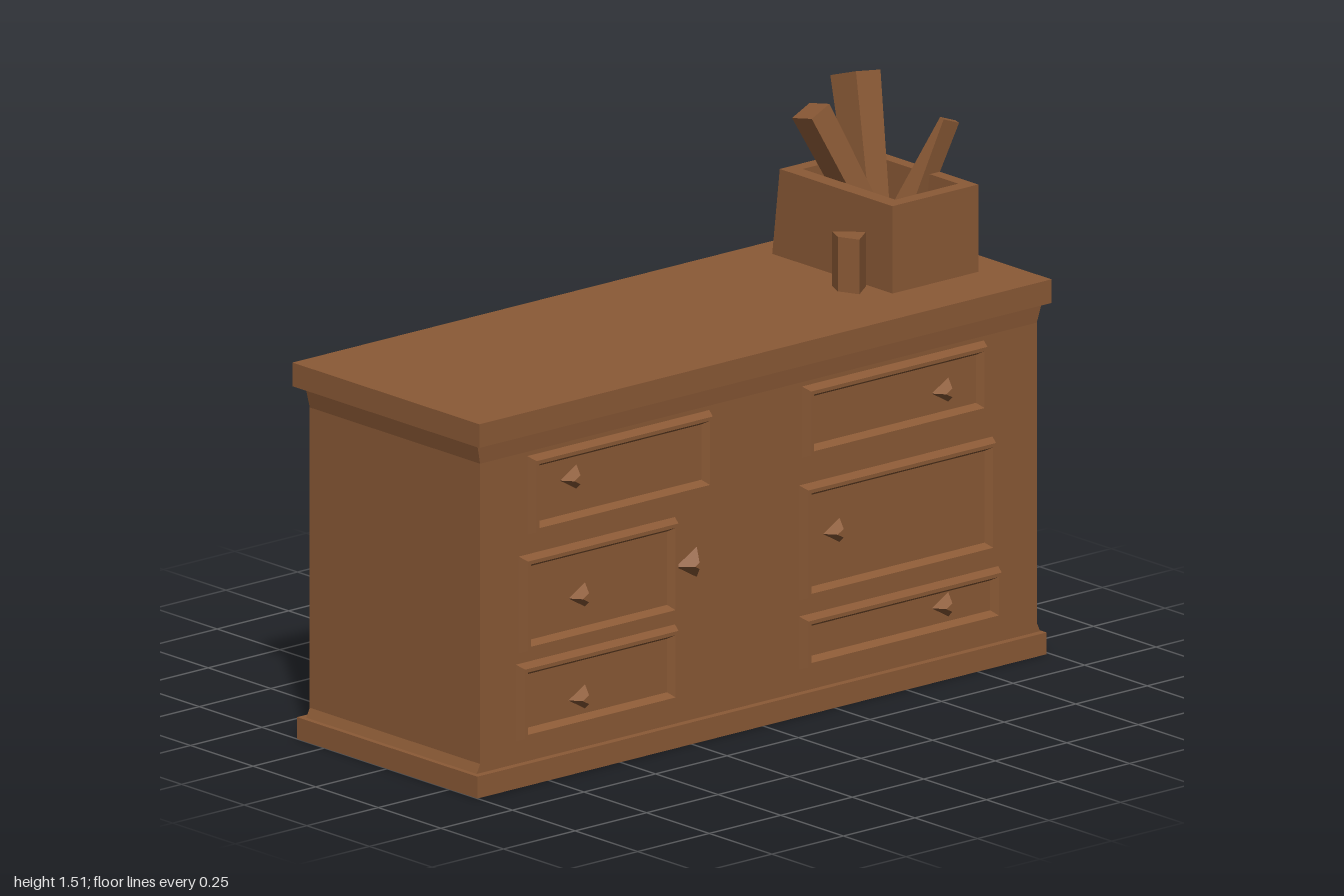
import * as THREE from 'three';

const wood = new THREE.MeshStandardMaterial({ color: 0x8b5a36, flatShading: true });
wood.name = 'brownWood';

// Skins rectangles [y, minX, maxX, minZ, maxZ] in order and caps both ends.
function loft(rings) {
  const loops = rings.map(([y, x0, x1, z0, z1]) => [[x1, y, z1], [x1, y, z0], [x0, y, z0], [x0, y, z1]]);
  const pos = [];
  const quad = (a, b, c, d) => pos.push(...a, ...b, ...c, ...a, ...c, ...d);
  for (let r = 0; r < loops.length - 1; r++) {
    const a = loops[r], b = loops[r + 1];
    for (let i = 0; i < 4; i++) quad(a[i], a[(i + 1) % 4], b[(i + 1) % 4], b[i]);
  }
  const bottom = loops[0], top = loops[loops.length - 1];
  quad(bottom[3], bottom[2], bottom[1], bottom[0]);
  quad(...top);
  const g = new THREE.BufferGeometry();
  g.setAttribute('position', new THREE.Float32BufferAttribute(pos, 3));
  g.computeVertexNormals();
  return g;
}

export function createModel() {
  const model = new THREE.Group();
  model.name = 'counterWithCrate';
  const add = (name, geometry) => {
    const mesh = new THREE.Mesh(geometry, wood);
    mesh.name = name;
    model.add(mesh);
    return mesh;
  };

  // Cabinet: plinth, body with flared ends, overhanging top
  add('plinth', loft([[0, -0.36, 0.36, -0.99, 1], [0.06, -0.36, 0.36, -0.99, 1]]));
  add('body', loft([
    [0.06, -0.34, 0.34, -0.985, 0.985], [0.085, -0.34, 0.34, -0.973, 0.973],
    [0.91, -0.34, 0.34, -0.973, 0.973], [0.965, -0.34, 0.345, -0.987, 0.987],
  ]));
  add('counterTop', loft([[0.965, -0.378, 0.368, -1, 1], [1.03, -0.378, 0.368, -1, 1]]));

  // Drawers on the +x side: bevelled rim around a sunken panel
  const drawers = [ // y0, y1, z0, z1, knob y, knob z
    [0.68, 0.9, 0.17, 0.81, 0.81, 0.66],
    [0.36, 0.63, 0.29, 0.84, 0.48, 0.63],
    [0.12, 0.335, 0.29, 0.85, 0.2, 0.63],
    [0.7, 0.9, -0.79, -0.15, 0.79, -0.64],
    [0.31, 0.63, -0.82, -0.14, 0.48, -0.26],
    [0.12, 0.27, -0.84, -0.14, 0.2, -0.64],
  ];
  for (const [y0, y1, z0, z1, ky, kz] of drawers) {
    const ring = (h, inset) => [h, -y1 + inset, -y0 - inset, z0 + inset, z1 - inset];
    const drawer = add('drawer', loft([ring(0.335, 0), ring(0.366, 0.012), ring(0.366, 0.022), ring(0.345, 0.034)]));
    drawer.rotation.z = -Math.PI / 2;

    // Three-sided wedge pull
    const knob = add('drawerKnob', new THREE.CylinderGeometry(0.014, 0.042, 0.035, 3));
    knob.rotation.z = -Math.PI / 2;
    knob.position.set(0.358, ky, kz);
  }

  // Extra pull beside the middle drawer
  const pull = add('sidePull', new THREE.CylinderGeometry(0.01, 0.05, 0.035, 3));
  pull.rotation.z = -Math.PI / 2;
  pull.position.set(0.356, 0.49, 0.24);

  // Open crate with one leaning wall
  add('crate', loft([
    [1.03, -0.29, 0.19, -0.9, -0.6], [1.27, -0.26, 0.19, -0.9, -0.6],
    [1.27, -0.22, 0.15, -0.865, -0.645], [1.14, -0.22, 0.15, -0.865, -0.645],
  ]));

  // Sticks standing in the crate: foot, tip, foot size, tip size
  const sticks = [
    [[-0.14, 1.14, -0.81], [-0.255, 1.485, -0.86], [0.08, 0.07], [0.105, 0.085]],
    [[-0.14, 1.14, -0.79], [-0.205, 1.43, -0.66], [0.075, 0.06], [0.085, 0.07]],
    [[-0.02, 1.14, -0.82], [0.047, 1.41, -0.925], [0.075, 0.05], [0.015, 0.06]],
  ];
  for (const [from, to, [w0, d0], [w1, d1]] of sticks) {
    const a = new THREE.Vector3(...from);
    const dir = new THREE.Vector3(...to).sub(a);
    const stick = add('stick', loft([
      [0, -w0 / 2, w0 / 2, -d0 / 2, d0 / 2], [dir.length(), -w1 / 2, w1 / 2, -d1 / 2, d1 / 2],
    ]));
    stick.position.copy(a);
    stick.quaternion.setFromUnitVectors(new THREE.Vector3(0, 1, 0), dir.normalize());
  }

  // Small upright wedge in front of the crate
  const wedge = new THREE.Shape([[0.035, 0.525], [0.08, 0.505], [0.138, 0.53], [0.095, 0.59]].map(p => new THREE.Vector2(...p)));
  const block = add('smallBlock', new THREE.ExtrudeGeometry(wedge, { depth: 0.15, bevelEnabled: false }));
  block.rotation.x = -Math.PI / 2;
  block.position.y = 1.03;

  return model;
}
